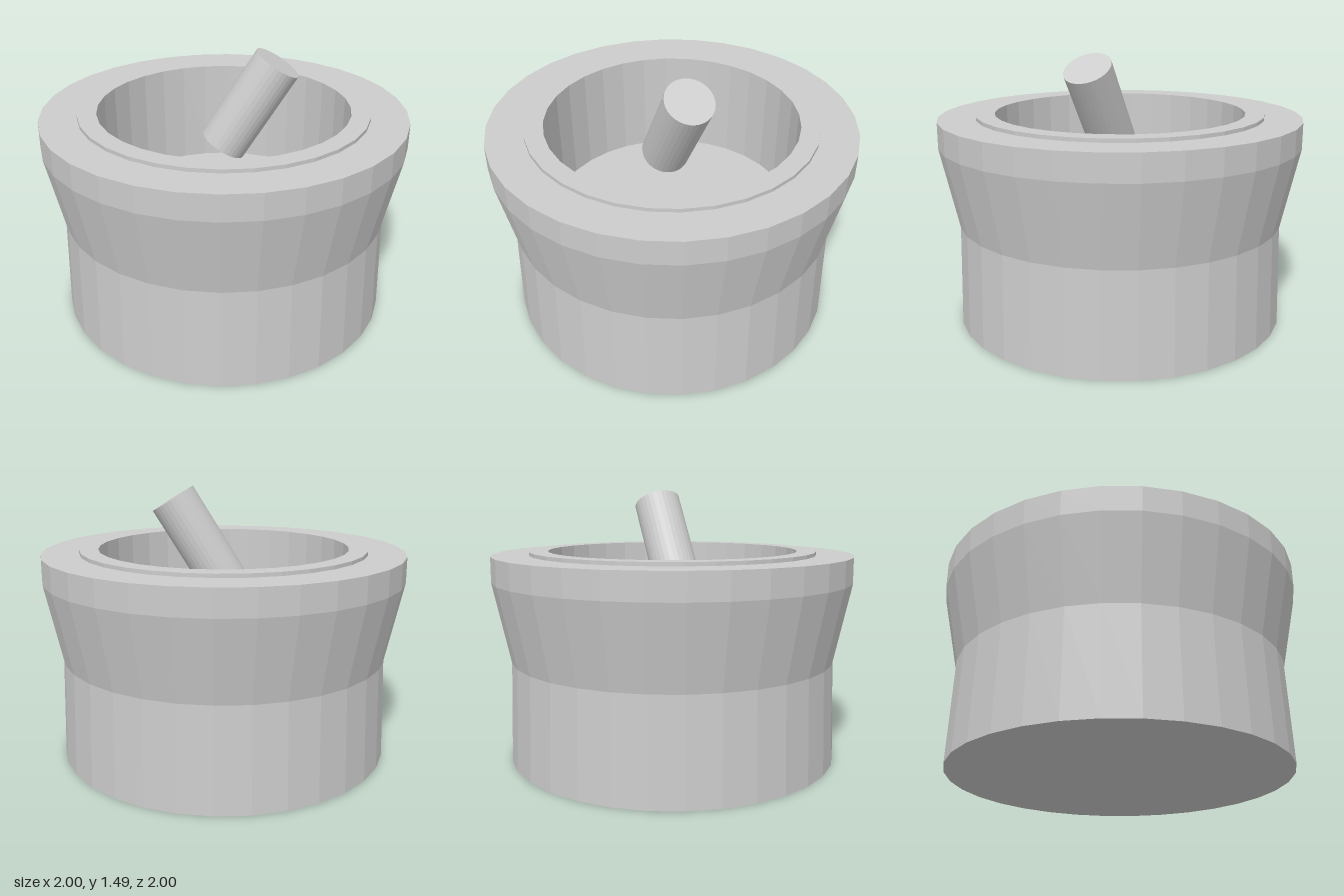
import * as THREE from 'three';

export function createModel() {
  const group = new THREE.Group();
  const stone = new THREE.MeshStandardMaterial({ color: 0xcccccc, flatShading: true });
  stone.name = 'grey stone';

  // Bowl: closed profile from the underside, up the outside, over the raised lip and down to the floor
  const profile = [
    [0, 0], [0.92, 0], [0.905, 0.56], [1, 1], [1, 1.14],
    [0.795, 1.14], [0.795, 1.16], [0.692, 1.16], [0.692, 0.56], [0, 0.56],
  ].map(([r, y]) => new THREE.Vector2(r, y));
  const bowl = new THREE.Mesh(new THREE.LatheGeometry(profile, 32), stone);
  bowl.name = 'bowl';
  group.add(bowl);

  // Leaning rod, placed between its two end centres
  const low = new THREE.Vector3(-0.01, 0.955, 0.037);
  const high = new THREE.Vector3(0.272, 1.42, 0.095);
  const axis = high.clone().sub(low);
  const rod = new THREE.Mesh(new THREE.CylinderGeometry(0.132, 0.132, axis.length(), 32), stone);
  rod.name = 'pestle';
  rod.position.copy(low).add(high).multiplyScalar(0.5);
  rod.quaternion.setFromUnitVectors(new THREE.Vector3(0, 1, 0), axis.normalize());
  group.add(rod);

  return group;
}
